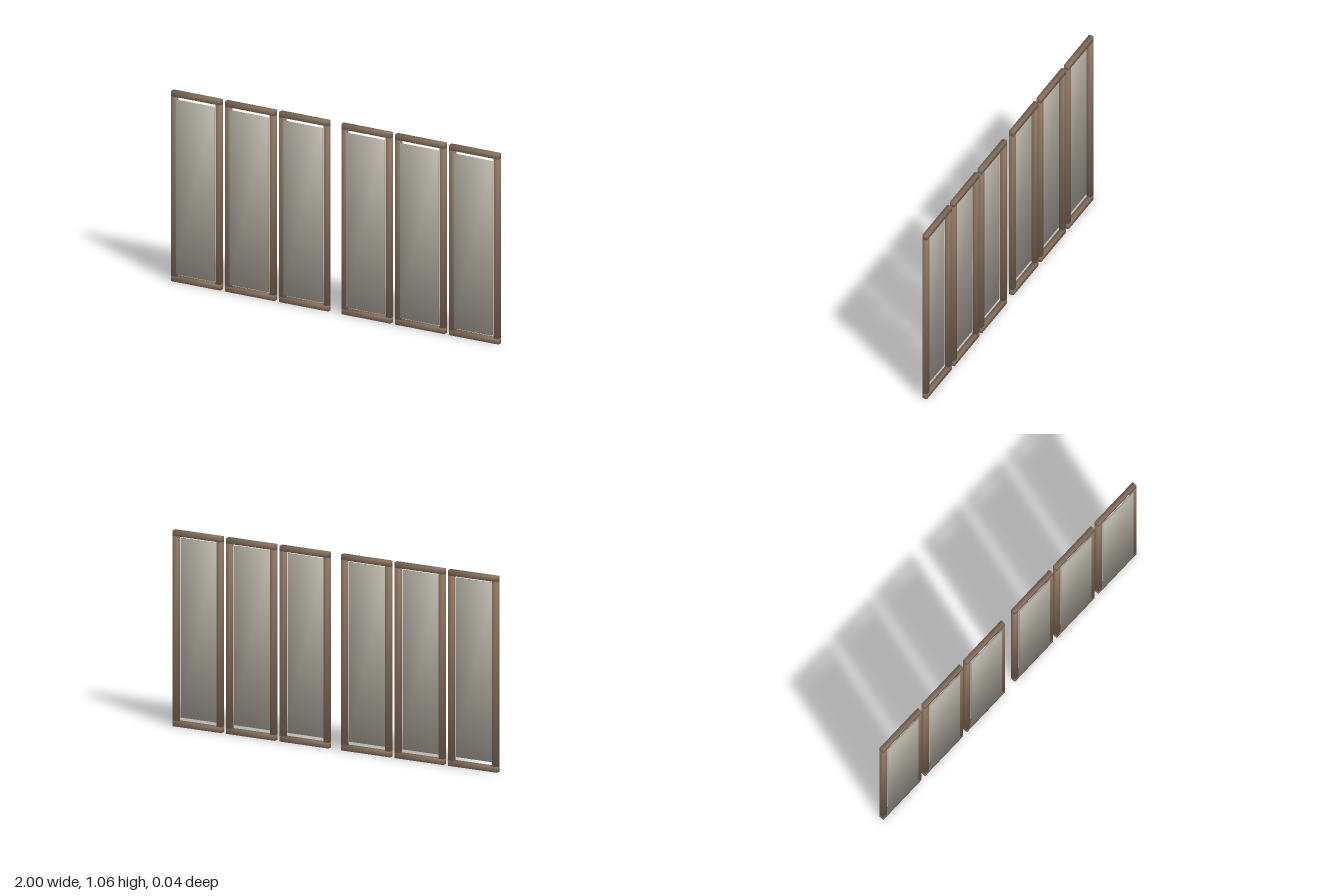
import * as THREE from 'three';

const wood = new THREE.MeshStandardMaterial({ color: 0x8c7561 });
const glass = new THREE.MeshStandardMaterial({ color: 0xb5b1a5 });

// Box between two corners, shaded softly with normals that point out through its corners
function softBox(name, material, [x0, y0, z0], [x1, y1, z1]) {
  const geometry = new THREE.BoxGeometry(x1 - x0, y1 - y0, z1 - z0);
  const position = geometry.attributes.position;
  const normal = geometry.attributes.normal;
  const v = new THREE.Vector3();
  for (let i = 0; i < position.count; i++) {
    v.set(Math.sign(position.getX(i)), Math.sign(position.getY(i)), Math.sign(position.getZ(i))).normalize();
    normal.setXYZ(i, v.x, v.y, v.z);
  }
  const mesh = new THREE.Mesh(geometry, material);
  mesh.name = name;
  mesh.position.set((x0 + x1) / 2, (y0 + y1) / 2, (z0 + z1) / 2);
  return mesh;
}

// One framed window: two rails, two stiles and a pane set on the front
function createWindow() {
  const group = new THREE.Group();
  const half = 0.15, height = 1.063, bar = 0.03;
  const back = -0.0175, front = 0.009, paneFront = 0.0175;

  group.add(softBox('bottomRail', wood, [-half, 0, back], [half, bar, front]));
  group.add(softBox('topRail', wood, [-half, height - bar, back], [half, height, front]));
  for (const [name, x] of [['rightStile', -half], ['leftStile', half - bar]]) {
    group.add(softBox(name, wood, [x, bar, back], [x + bar, height - bar, front]));
  }
  group.add(softBox('pane', glass, [-0.117, 0.046, front], [0.117, 1.02, paneFront]));
  return group;
}

export function createModel() {
  const model = new THREE.Group();
  model.name = 'windowRow';
  // Three windows on each side of a wider middle gap
  for (const side of [-1, 1]) {
    for (let i = 0; i < 3; i++) {
      const panel = createWindow();
      panel.name = (side < 0 ? 'rightWindow' : 'leftWindow') + (i + 1);
      panel.position.x = side * (0.19 + i * 0.33);
      model.add(panel);
    }
  }
  return model;
}
